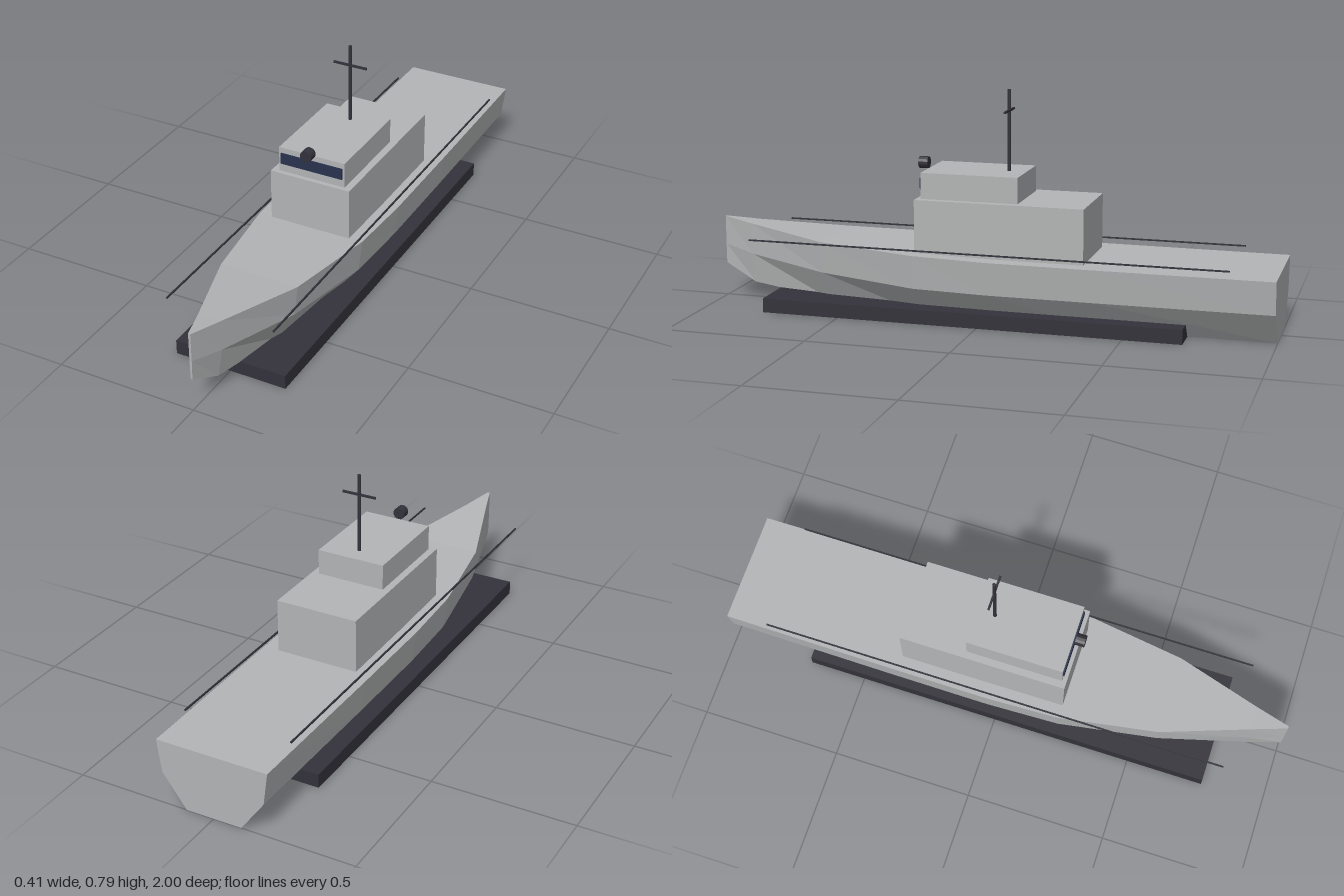
import * as THREE from 'three';

const grey = new THREE.MeshStandardMaterial({ color: 0xb2b4b5, flatShading: true });
grey.name = 'hull grey';
const dark = new THREE.MeshStandardMaterial({ color: 0x33313a, flatShading: true });
dark.name = 'dark charcoal';
const glass = new THREE.MeshStandardMaterial({ color: 0x29334f });
glass.name = 'window navy';

// Hull stations: z, deck half-width, deck y, chine half-width, chine y, bottom half-width, bottom y
const STATIONS = [
  [-1, 0.2, 0.23, 0.184, 0.115, 0.1, 0],
  [-0.4, 0.204, 0.23, 0.189, 0.115, 0.1, 0.001],
  [-0.03, 0.205, 0.231, 0.19, 0.115, 0.1, 0.004],
  [0.23, 0.197, 0.236, 0.182, 0.118, 0.095, 0.01],
  [0.58, 0.142, 0.25, 0.13, 0.139, 0.07, 0.03],
  [0.88, 0.042, 0.278, 0.038, 0.166, 0.022, 0.06],
  [1, 0.004, 0.292, 0.004, 0.19, 0.003, 0.12],
];

// Loft a faceted skin through the six-cornered stations and cap both ends
function hullGeometry() {
  const rings = STATIONS.map(([z, dw, dy, cw, cy, bw, by]) => [
    [dw, dy, z], [-dw, dy, z], [-cw, cy, z], [-bw, by, z], [bw, by, z], [cw, cy, z],
  ]);
  const pos = [];
  const tri = (a, b, c) => pos.push(...a, ...b, ...c);
  for (let s = 0; s < rings.length - 1; s++) {
    const a = rings[s], b = rings[s + 1];
    for (let i = 0; i < 6; i++) {
      const j = (i + 1) % 6;
      tri(a[i], a[j], b[j]);
      tri(a[i], b[j], b[i]);
    }
  }
  const stern = rings[0], bow = rings[rings.length - 1];
  for (let i = 1; i < 5; i++) {
    tri(bow[0], bow[i], bow[i + 1]);
    tri(stern[0], stern[i + 1], stern[i]);
  }
  const geo = new THREE.BufferGeometry();
  geo.setAttribute('position', new THREE.Float32BufferAttribute(pos, 3));
  geo.computeVertexNormals();
  return geo;
}

export function createModel() {
  const group = new THREE.Group();
  group.name = 'patrolBoat';

  const add = (name, geo, mat, x = 0, y = 0, z = 0) => {
    const mesh = new THREE.Mesh(geo, mat);
    mesh.name = name;
    mesh.position.set(x, y, z);
    group.add(mesh);
    return mesh;
  };
  // Box given by its width and its y and z limits
  const block = (name, mat, w, y0, y1, z0, z1, x = 0) =>
    add(name, new THREE.BoxGeometry(w, y1 - y0, z1 - z0), mat, x, (y0 + y1) / 2, (z0 + z1) / 2);

  // Hull and the dark slab beneath it
  add('hull', hullGeometry(), grey);
  block('lowerHullSlab', dark, 0.404, 0, 0.05, -0.702, 0.776);

  // Superstructure
  block('deckhouse', grey, 0.296, 0.225, 0.42, -0.356, 0.235);
  block('bridge', grey, 0.246, 0.42, 0.51, -0.123, 0.219);
  block('bridgeWindow', glass, 0.23, 0.45, 0.49, 0.218, 0.224);

  // Mast with its yard
  add('mast', new THREE.CylinderGeometry(0.0065, 0.0065, 0.28, 8), dark, 0, 0.65, -0.06);
  block('mastYard', dark, 0.124, 0.714, 0.721, -0.0635, -0.0565);

  // Searchlight ahead of the bridge
  const lamp = add('searchlight', new THREE.CylinderGeometry(0.021, 0.021, 0.033, 14), dark, 0, 0.525, 0.244);
  lamp.rotation.x = Math.PI / 2;

  // Side rails
  for (const side of [-1, 1]) {
    block(side > 0 ? 'leftRail' : 'rightRail', dark, 0.005, 0.251, 0.256, -0.849, 0.827, side * 0.193);
  }

  return group;
}
